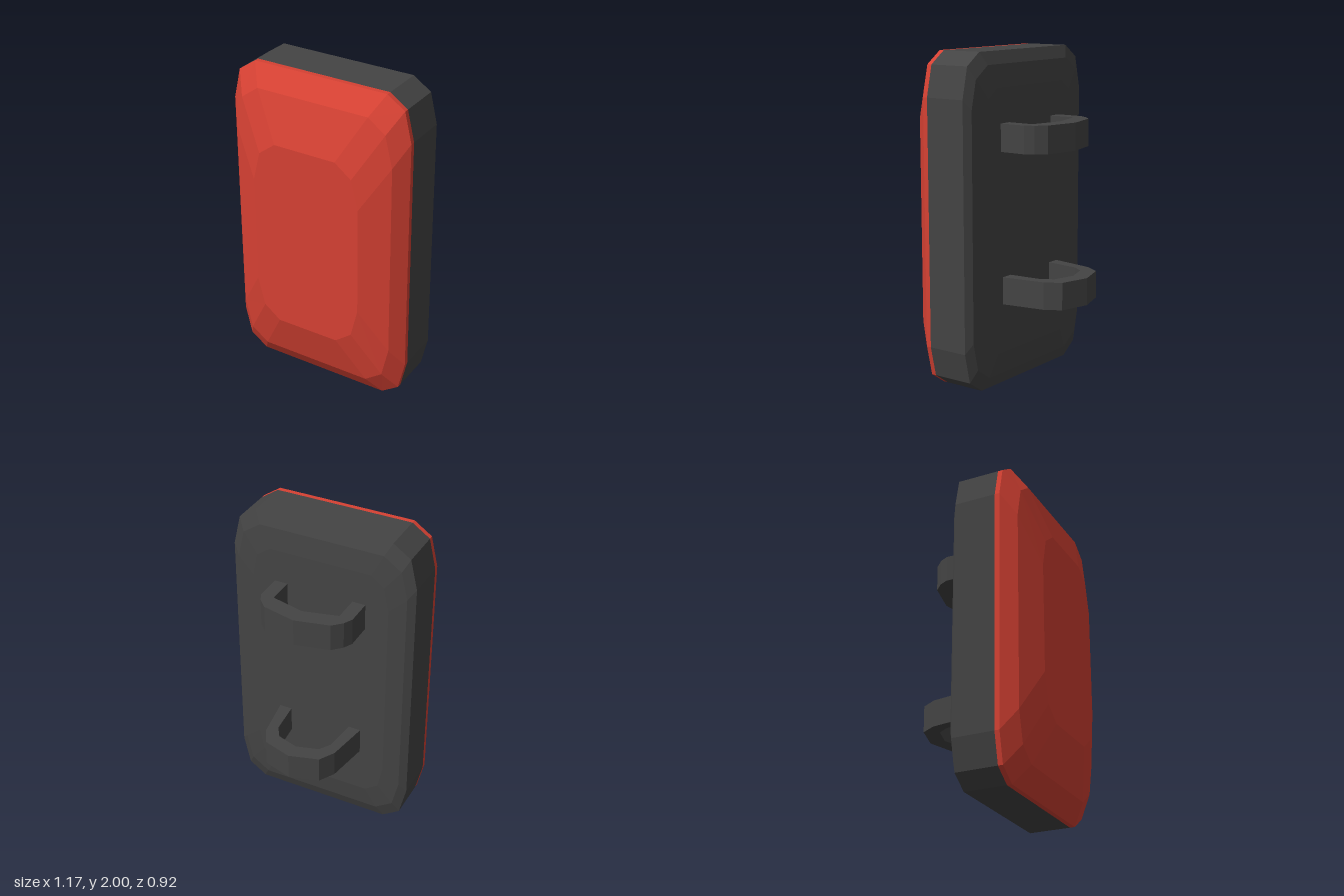
import * as THREE from 'three';

const red = new THREE.MeshStandardMaterial({ color: 0xd64133, flatShading: true });
const dark = new THREE.MeshStandardMaterial({ color: 0x444444, flatShading: true });

// Rectangle with faceted corners, counter-clockwise seen from +z; corners are first-quadrant points.
function ring([a, b, c], z) {
  const quarter = [c, b, a];
  const mirror = (sx, sy) => quarter.map(([x, y]) => [sx * x, 1 + sy * y, z]);
  return [
    ...mirror(1, 1), ...mirror(-1, 1).reverse(),
    ...mirror(-1, -1), ...mirror(1, -1).reverse(),
  ];
}

// Skin over rings ordered from back to front, with flat caps on both ends.
function loft(rings) {
  const n = rings[0].length;
  const index = [];
  for (let r = 0; r < rings.length - 1; r++) {
    for (let i = 0; i < n; i++) {
      const j = (i + 1) % n;
      const a = r * n + i, b = r * n + j, c = a + n, d = b + n;
      index.push(a, b, d, a, d, c);
    }
  }
  const last = (rings.length - 1) * n;
  for (let i = 1; i < n - 1; i++) {
    index.push(0, i + 1, i);
    index.push(last, last + i, last + i + 1);
  }
  const geo = new THREE.BufferGeometry();
  geo.setAttribute('position', new THREE.Float32BufferAttribute(rings.flat(2), 3));
  geo.setIndex(index);
  const flat = geo.toNonIndexed();
  flat.computeVertexNormals();
  return flat;
}

// Bracket outline: right half from the middle to the foot, as [x, distance behind the body].
function bracket(outer, inner, height) {
  const mirrored = (pts) => pts.slice(1).map(([x, y]) => [-x, y]);
  const outline = [
    ...mirrored(outer).reverse(), ...outer,
    ...[...inner].reverse(), ...mirrored(inner),
  ];
  const shape = new THREE.Shape(outline.map(([x, y]) => new THREE.Vector2(x, y)));
  const geo = new THREE.ExtrudeGeometry(shape, { depth: height, bevelEnabled: false });
  return geo.rotateX(-Math.PI / 2);
}

export function createModel() {
  const group = new THREE.Group();
  const add = (name, geo, mat, y = 0) => {
    const mesh = new THREE.Mesh(geo, mat);
    mesh.name = name;
    mesh.position.y = y;
    group.add(mesh);
  };

  const rim = [[0.43, 1], [0.54, 0.925], [0.583, 0.74]];

  // Dark backing with a shallow bevelled rear
  add('backing', loft([
    ring([[0.32, 0.79], [0.405, 0.73], [0.435, 0.585]], -0.045),
    ring([[0.39, 0.925], [0.5, 0.85], [0.54, 0.68]], -0.03),
    ring(rim, 0),
    ring(rim, 0.26),
  ]), dark);

  // Red padded front
  add('frontPad', loft([
    ring(rim, 0.26),
    ring(rim, 0.29),
    ring([[0.36, 0.88], [0.47, 0.8], [0.515, 0.61]], 0.375),
    ring([[0.2, 0.6], [0.305, 0.52], [0.35, 0.34]], 0.458),
  ]), red);

  // Wide hand grip above, deeper arm loop below
  add('upperHandle', bracket(
    [[0, 0.368], [0.21, 0.32], [0.265, 0.265], [0.292, 0.21], [0.292, 0.03]],
    [[0, 0.262], [0.19, 0.216], [0.21, 0.21], [0.21, 0.03]],
    0.165), dark, 1.42);
  add('lowerHandle', bracket(
    [[0, 0.458], [0.18, 0.405], [0.235, 0.31], [0.28, 0.03]],
    [[0, 0.36], [0.135, 0.32], [0.18, 0.25], [0.2, 0.03]],
    0.165), dark, 0.505);

  return group;
}
